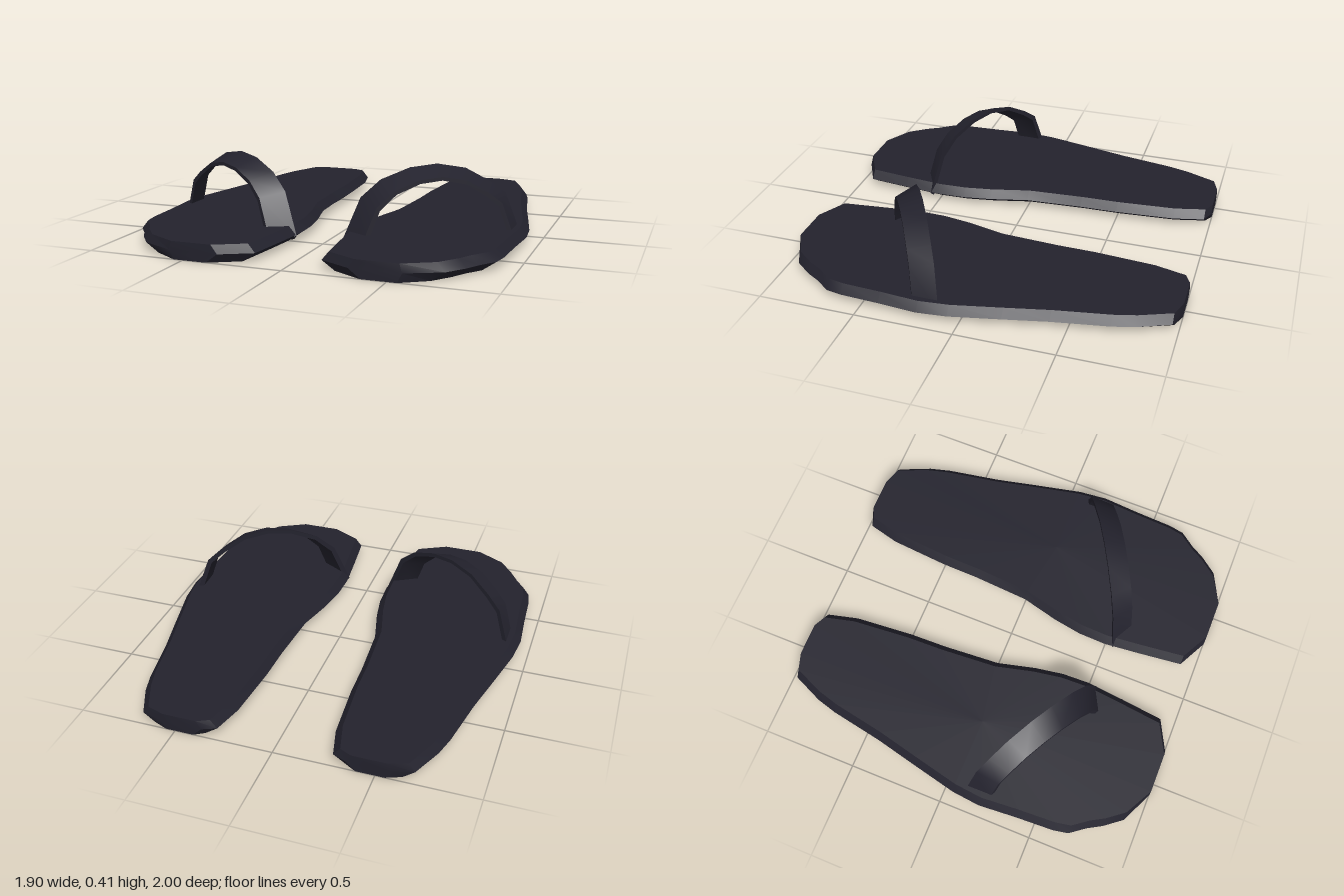
import * as THREE from 'three';
import { toCreasedNormals } from 'three/addons/utils/BufferGeometryUtils.js';

// Closed solid through rings of [x, y, z], each clockwise seen from the last ring
function loft(rings, side, crease) {
  const pos = [];
  const rs = rings.map(r => {
    const m = r.map(([x, y, z]) => [x * side, y, z]);
    return side < 0 ? m.reverse() : m;
  });
  const tri = (...p) => p.forEach(v => pos.push(...v));
  const n = rs[0].length;
  const centre = r => [0, 1, 2].map(k => r.reduce((s, p) => s + p[k], 0) / n);
  const first = rs[0], last = rs[rs.length - 1];
  const c0 = centre(first), c1 = centre(last);
  for (let i = 0; i < n; i++) {
    const j = (i + 1) % n;
    for (let k = 0; k < rs.length - 1; k++) {
      const a = rs[k], b = rs[k + 1];
      tri(a[i], b[i], b[j]);
      tri(a[i], b[j], a[j]);
    }
    tri(c0, first[i], first[j]);
    tri(c1, last[j], last[i]);
  }
  const g = new THREE.BufferGeometry();
  g.setAttribute('position', new THREE.Float32BufferAttribute(pos, 3));
  return toCreasedNormals(g, crease);
}

// Sole outline [x, z], from the heel round the outer edge to the toe and back
const OUTLINE = [
  [0.36, -1], [0.57, -1], [0.68, -0.97], [0.75, -0.81], [0.78, -0.7], [0.83, -0.42],
  [0.88, -0.2], [0.935, 0.05], [0.95, 0.2], [0.935, 0.4], [0.925, 0.6], [0.91, 0.68],
  [0.85, 0.76], [0.81, 0.83], [0.74, 0.92], [0.57, 1], [0.32, 1], [0.165, 0.92],
  [0.14, 0.7], [0.12, 0.5], [0.125, 0.35], [0.15, 0.2], [0.2, 0], [0.22, -0.3],
  [0.225, -0.5], [0.25, -0.81], [0.29, -0.97],
];

// Strap arch [fraction from outer to inner foot, height]
const ARCH = [
  [0, 0.04], [0.09, 0.25], [0.18, 0.31], [0.32, 0.38], [0.48, 0.405],
  [0.63, 0.39], [0.79, 0.335], [0.9, 0.25], [1, 0.04],
];

function soleGeometry(side) {
  // The side wall bulges out at mid height; heel and toe ends stay upright
  const ring = (y, inset) => OUTLINE.map(([x, z]) =>
    [x + (x > 0.5 ? -inset : inset) * Math.min(1, Math.abs(x - 0.5) / 0.2), y, z]);
  return loft([ring(0, 0.065), ring(0.045, 0), ring(0.088, 0.035)], side, 0.5);
}

function strapGeometry(side) {
  // Back and front edges differ in length, and the front edge sits lower
  const back = (u, y) => [0.9 - 0.78 * u, y, 0.105 + 0.44 * u];
  const front = (u, y) => [0.9 - 0.66 * u, y * 0.89, 0.235 + 0.375 * u];
  const rings = ARCH.map(([u, y]) => {
    const v = 0.5 + (u - 0.5) * 0.95, w = y - 0.02;
    return [back(u, y), front(u, y), front(v, w), back(v, w)];
  });
  return loft(rings, side, 0.6);
}

export function createModel() {
  const model = new THREE.Group();
  model.name = 'sandals';
  const rubber = new THREE.MeshStandardMaterial({ color: 0x23222d });
  rubber.name = 'dark navy rubber';

  for (const [side, label] of [[1, 'left'], [-1, 'right']]) {
    const sandal = new THREE.Group();
    sandal.name = `${label}Sandal`;
    const sole = new THREE.Mesh(soleGeometry(side), rubber);
    sole.name = `${label}Sole`;
    const strap = new THREE.Mesh(strapGeometry(side), rubber);
    strap.name = `${label}Strap`;
    sandal.add(sole, strap);
    model.add(sandal);
  }
  return model;
}
